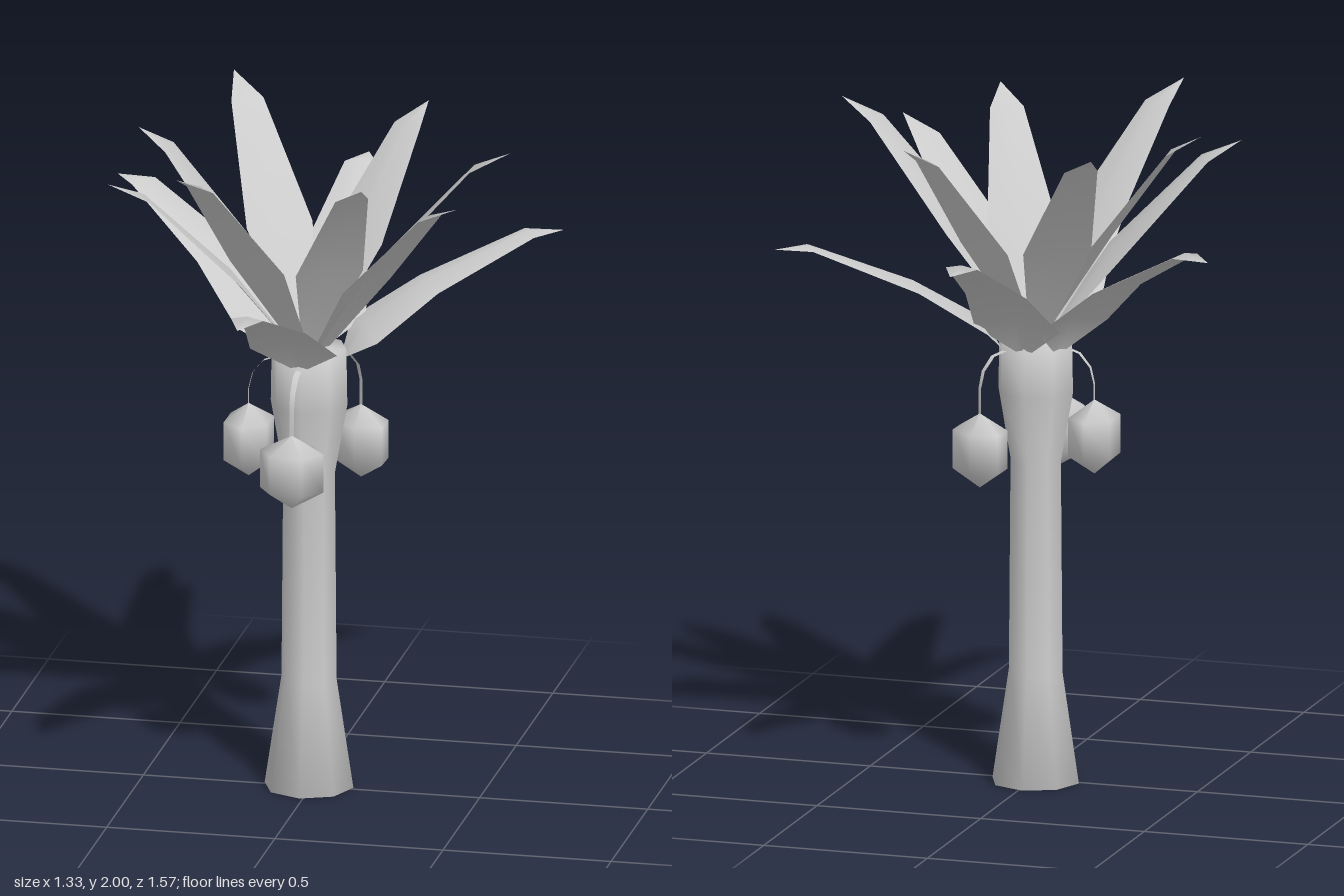
import * as THREE from 'three';

const material = new THREE.MeshStandardMaterial({ color: 0xcccccc });
const thinMaterial = new THREE.MeshStandardMaterial({ color: 0xcccccc, side: THREE.DoubleSide });
const CX = -0.01, CZ = -0.013; // trunk axis

// Outlines from base to tip: [distance, height, width].
// High leaves use fractions of the tip's distance and rise, low leaves are in units.
const highLeaf = [[0.06, 0, 0.06], [0.39, 0.46, 0.205], [0.82, 0.92, 0.1], [1, 1, 0]];
const lowLeaf = [[0.11, 1.31, 0.05], [0.17, 1.39, 0.262], [0.37, 1.515, 0.185], [0.68, 1.645, 0.097], [0.787, 1.64, 0]];

// A strip running outwards from the trunk towards (x, z); its middle is raised by fold * width
function makeStrip(tipX, tipZ, stations, fold) {
  const dx = tipX - CX, dz = tipZ - CZ, length = Math.hypot(dx, dz);
  const ux = dx / length, uz = dz / length;
  const points = [], index = [];
  stations.forEach(([r, y, w], i) => {
    for (const side of [0.5, 0, -0.5]) {
      points.push(CX + ux * r + uz * w * side, y + fold * w * (0.5 - Math.abs(side) * 2), CZ + uz * r - ux * w * side);
    }
    if (i === 0) return;
    for (const a of [3 * i - 3, 3 * i - 2]) {
      index.push(a, a + 1, a + 3, a + 1, a + 4, a + 3);
    }
  });
  const geometry = new THREE.BufferGeometry();
  geometry.setAttribute('position', new THREE.Float32BufferAttribute(points, 3));
  geometry.setIndex(index);
  geometry.computeVertexNormals();
  return new THREE.Mesh(geometry, thinMaterial);
}

function makeTrunk() {
  const profile = [[0, 0], [0.132, 0], [0.082, 0.33], [0.077, 0.96], [0.114, 1.17], [0.111, 1.34], [0, 1.35]];
  const geometry = new THREE.LatheGeometry(profile.map(([r, y]) => new THREE.Vector2(r, y)), 8);
  const trunk = new THREE.Mesh(geometry, material);
  trunk.position.set(CX, 0, CZ);
  trunk.name = 'trunk';
  return trunk;
}

// A six-sided nut, flattened towards the trunk, on a bent ribbon-like stalk
function makeNut(x, z, top) {
  const group = new THREE.Group();
  group.name = 'hangingNut';
  const dx = x - CX, dz = z - CZ, length = Math.hypot(dx, dz);

  const profile = [[0, -0.112], [0.096, -0.055], [0.096, 0.06], [0, 0.11]];
  const nut = new THREE.Mesh(
    new THREE.LatheGeometry(profile.map(([r, y]) => new THREE.Vector2(r, y)), 6, Math.PI / 2), material);
  nut.scale.z = 0.77;
  nut.rotation.y = Math.atan2(dx, dz);
  nut.position.set(x, top - 0.11, z);
  nut.name = 'nut';

  const stalk = makeStrip(x, z, [
    [0.09, 1.305, 0.018], [length - 0.045, 1.29, 0.018], [length - 0.012, 1.25, 0.016],
    [length, 1.2, 0.014], [length, top - 0.01, 0.014]], 0);
  stalk.name = 'stalk';
  group.add(nut, stalk);
  return group;
}

export function createModel() {
  const model = new THREE.Group();
  model.name = 'palmTree';
  model.add(makeTrunk());

  // Upright leaves: tip x, tip height, tip z, base height
  const upright = [
    [-0.545, 1.89, 0.275, 1.33], [0.495, 1.89, 0.29, 1.33], [-0.52, 1.97, -0.03, 1.35], [0.6, 1.99, 0.04, 1.35],
    [-0.345, 2, -0.525, 1.35], [0.25, 1.97, -0.455, 1.35], [-0.29, 2, 0.52, 1.35], [0.24, 1.97, 0.425, 1.35],
  ];
  for (const [x, y, z, base] of upright) {
    const length = Math.hypot(x - CX, z - CZ);
    const leaf = makeStrip(x, z, highLeaf.map(([r, h, w]) => [r * length, base + h * (y - base), w]), 0.1);
    leaf.name = 'uprightLeaf';
    model.add(leaf);
  }

  // Spreading leaves: tip x, tip height, tip z
  const spreading = [[0, 1.69, -0.787], [-0.05, 1.64, 0.785], [0.667, 1.625, -0.385], [-0.667, 1.695, -0.415]];
  for (const [x, y, z] of spreading) {
    const k = Math.hypot(x - CX, z - CZ) / 0.787, rise = (y - 1.31) / 0.33;
    const leaf = makeStrip(x, z, lowLeaf.map(([r, h, w]) => [r * k, 1.31 + (h - 1.31) * rise, w]), 0.1);
    leaf.name = 'spreadingLeaf';
    model.add(leaf);
  }

  for (const [x, z, top] of [[-0.19, -0.015, 1.155], [-0.022, 0.17, 1.125], [0.112, -0.163, 1.125]]) {
    model.add(makeNut(x, z, top));
  }
  return model;
}
